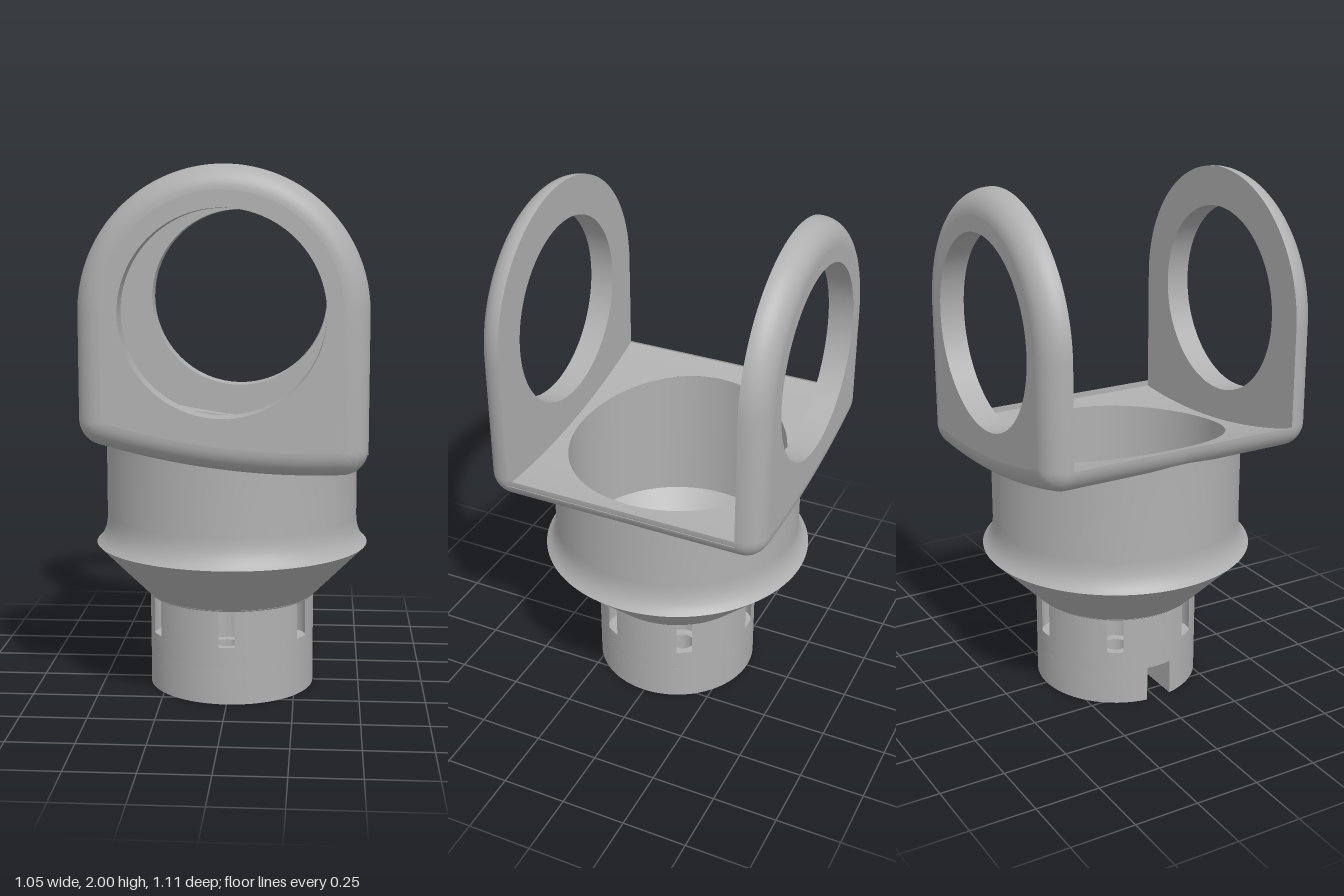
import * as THREE from 'three';
import { toCreasedNormals } from 'three/addons/utils/BufferGeometryUtils.js';

const { PI, sin, cos, asin, acos, sqrt, max, hypot, atan2 } = Math;
const HALF = 0.515, INNER_Z = 0.46, OUTER_Z = 0.557, BEVEL = 0.09, CORNER = 0.095, ARCH_Y = 1.485;
const TUBE_R = 0.32, BOLT_D = 0.25, BORE_R = 0.075, HOLE_R = 0.043, CUP_R = 0.425;

// curved saddle: underside and top heights along x
const under = x => 0.91 + 0.19 * (x - 0.3) ** 2;
const top = x => under(x) + 0.065;
const boltAngles = [0, 1, 2, 3, 4, 5].map(k => PI / 6 + k * PI / 3);

// surface through rows of [x, y, z] points
function surface(rows, crease = 0.5) {
  const n = rows[0].length, index = [];
  for (let j = 0; j < rows.length - 1; j++) {
    for (let i = 0; i < n - 1; i++) {
      const a = j * n + i, b = a + 1, c = b + n, d = a + n;
      index.push(a, b, c, a, c, d);
    }
  }
  const geo = new THREE.BufferGeometry();
  geo.setAttribute('position', new THREE.Float32BufferAttribute(rows.flat(2), 3));
  geo.setIndex(index);
  return toCreasedNormals(geo, crease);
}

// ring-shaped rows, each given by radius and height as functions of angle
function turned(levels, crease) {
  const N = 180;
  return surface(levels.map(([r, y]) => Array.from({ length: N + 1 }, (_, i) => {
    const t = i / N * 2 * PI, R = typeof r === 'function' ? r(t) : r;
    return [R * cos(t), typeof y === 'function' ? y(t, R) : y, -R * sin(t)];
  })), crease);
}

// flat layer extruded upwards between two heights
function layer(shape, y0, y1) {
  const geo = new THREE.ExtrudeGeometry(shape, { depth: y1 - y0, bevelEnabled: false, curveSegments: 32 });
  return toCreasedNormals(geo.rotateX(-PI / 2).translate(0, y0, 0), 0.5);
}

function addHole(shape, x, y, r) {
  shape.holes.push(new THREE.Path().absarc(x, y, r, 0, 2 * PI, true));
}
const addBoltHoles = (shape, r) => boltAngles.forEach(a => addHole(shape, BOLT_D * cos(a), BOLT_D * sin(a), r));
const addWireHoles = shape => [-0.1, 0.06].forEach(x => addHole(shape, x, 0, HOLE_R));
const disc = r => new THREE.Shape().absarc(0, 0, r, 0, 2 * PI, false);

// lower edge of the bracket: rounded corner, curve, rounded corner; each point [x, y, nx, ny]
function lowerEdge() {
  const normal = t => {
    const s = 0.38 * (t - 0.3), l = hypot(s, 1);
    return [s / l, -1 / l];
  };
  const contact = cx => {
    let t = cx;
    for (let i = 0; i < 8; i++) t = cx + CORNER * normal(t)[0];
    return t;
  };
  const tL = contact(-HALF + CORNER), tR = contact(HALF - CORNER), pts = [];
  const corner = (t, a0, a1) => {
    const [nx, ny] = normal(t), cx = t - CORNER * nx, cy = under(t) - CORNER * ny;
    for (let i = 0; i <= 10; i++) {
      const a = a0 + (a1 - a0) * i / 10;
      pts.push([cx + CORNER * cos(a), cy + CORNER * sin(a), cos(a), sin(a)]);
    }
  };
  const nL = normal(tL), nR = normal(tR);
  corner(tL, -PI, atan2(nL[1], nL[0]));
  for (let i = 1; i < 60; i++) {
    const t = tL + (tR - tL) * i / 60;
    pts.push([t, under(t), ...normal(t)]);
  }
  corner(tR, atan2(nR[1], nR[0]), 0);
  return pts;
}

// arched plate with a round window and a rounded outer rim
function plateParts(edge) {
  const outline = [];
  for (let i = 0; i <= 64; i++) {
    const a = i / 64 * PI;
    outline.push([HALF * cos(a), ARCH_Y + HALF * sin(a), cos(a), sin(a)]);
  }
  outline.push(...edge);
  const inset = d => outline.map(([x, y, nx, ny]) => [x - nx * d, y - ny * d]);
  const cap = d => {
    const s = new THREE.Shape(inset(d).map(p => new THREE.Vector2(...p)));
    addHole(s, 0, ARCH_Y, 0.364);
    return new THREE.ShapeGeometry(s, 48);
  };
  const ring = (d, z) => {
    const r = inset(d).map(p => [...p, z]);
    return [...r, r[0]];
  };
  const rows = [ring(0, INNER_Z)];
  for (let k = 0; k <= 10; k++) {
    const a = k / 10 * PI / 2;
    rows.push(ring(BEVEL * (1 - cos(a)), OUTER_Z - BEVEL + BEVEL * sin(a)));
  }
  const circle = z => Array.from({ length: 97 }, (_, i) =>
    [0.364 * cos(i / 48 * PI), ARCH_Y + 0.364 * sin(i / 48 * PI), z]);
  const inner = cap(0);
  inner.setIndex([...inner.index.array].reverse());
  inner.computeVertexNormals();
  return {
    Rim: surface(rows),
    OuterFace: cap(BEVEL).translate(0, 0, OUTER_Z),
    InnerFace: inner.translate(0, 0, INNER_Z),
    Window: surface([circle(OUTER_Z), circle(INNER_Z)]),
  };
}

function mirrored(geo) {
  const g = geo.index ? geo.toNonIndexed() : geo.clone();
  g.scale(1, 1, -1);
  g.setIndex([...Array(g.attributes.position.count).keys()].reverse());
  return g;
}

// bracket floor, left open over a circle of radius r
function floorHalf(points, r, side) {
  const near = points.map(([x, y]) => [x, y, side * sqrt(max(0, r * r - x * x))]);
  const far = points.map(([x, y]) => [x, y, side * INNER_Z]);
  return surface(side > 0 ? [near, far] : [far, near]);
}

export function createModel() {
  const model = new THREE.Group();
  const grey = new THREE.MeshStandardMaterial({ color: 0xb0b0b0 });
  grey.name = 'grey';
  const add = (name, geo, parent = model) => {
    const mesh = new THREE.Mesh(geo, grey);
    mesh.name = name;
    parent.add(mesh);
  };

  // two arched plates
  const edge = lowerEdge();
  const front = new THREE.Group(), back = new THREE.Group();
  front.name = 'frontPlate';
  back.name = 'backPlate';
  for (const [name, geo] of Object.entries(plateParts(edge))) {
    add('front' + name, geo, front);
    add('back' + name, mirrored(geo), back);
  }
  model.add(front, back);

  // curved floor between the plates
  const topLine = [[HALF, top(HALF)]];
  for (let i = 0; i <= 72; i++) {
    const x = CUP_R * cos(i / 72 * PI);
    topLine.push([x, top(x)]);
  }
  topLine.push([-HALF, top(-HALF)]);
  const underLine = [[-HALF, top(-HALF)], ...edge, [HALF, top(HALF)]];
  for (const side of [1, -1]) {
    add('floorTop', floorHalf(topLine, CUP_R, side));
    add('floorUnderside', floorHalf(underLine, 0.465, side));
  }

  // flared collar and hollow cup
  add('collar', turned([
    [TUBE_R, 0.36], [0.527, 0.568], [0.512, 0.582], [0.5, 0.602], [0.491, 0.625], [0.486, 0.655],
    [0.485, 0.68], [0.485, (t, r) => under(r * cos(t)) + 0.025],
  ], 0.6));
  const cupFoot = t => {
    const a = ((t % (PI / 3)) + PI / 3) % (PI / 3) - PI / 6;
    const h = BORE_R ** 2 - (BOLT_D * sin(a)) ** 2;
    return h > 0 ? max(0.305, BOLT_D * cos(a) + sqrt(h)) : 0.305;
  };
  add('cup', turned([
    [CUP_R, (t, r) => top(r * cos(t))], [CUP_R, 0.52], [cupFoot, (t, r) => 0.095 + r], [cupFoot, 0.37],
  ]));

  // cup floor with wide bolt recesses
  const cupFloor = disc(0.3265);
  addBoltHoles(cupFloor, BORE_R);
  addWireHoles(cupFloor);
  add('cupFloor', layer(cupFloor, 0.365, 0.4));

  // recesses break through the tube wall as narrow slots
  const slotted = new THREE.Shape();
  const d = acos((TUBE_R ** 2 + BOLT_D ** 2 - BORE_R ** 2) / (2 * TUBE_R * BOLT_D));
  const p = asin(TUBE_R * sin(d) / BORE_R);
  for (const a of boltAngles) {
    slotted.absarc(0, 0, TUBE_R, a - PI / 3 + d, a - d, false);
    slotted.absarc(BOLT_D * cos(a), BOLT_D * sin(a), BORE_R, a - p, a + p, true);
  }
  addWireHoles(slotted);
  add('slottedTube', layer(slotted, 0.22, 0.365));

  // solid web with bolt and wire holes
  const web = disc(TUBE_R);
  addBoltHoles(web, HOLE_R);
  addWireHoles(web);
  add('tubeWeb', layer(web, 0.14, 0.22));

  // base with an oblong wire cavity and a side notch
  const base = new THREE.Shape(), lo = 0.065, hi = 0.04, w = 0.09, c = 0.08;
  base.absarc(0, 0, TUBE_R, -PI + asin(lo / TUBE_R), PI - asin(hi / TUBE_R), false);
  base.absarc(-c, 0, w, PI - asin(hi / w), PI / 2, true);
  base.absarc(c, 0, w, PI / 2, -PI / 2, true);
  base.absarc(-c, 0, w, -PI / 2, -PI + asin(lo / w), true);
  addBoltHoles(base, HOLE_R);
  add('tubeBase', layer(base, 0, 0.14));

  return model;
}
